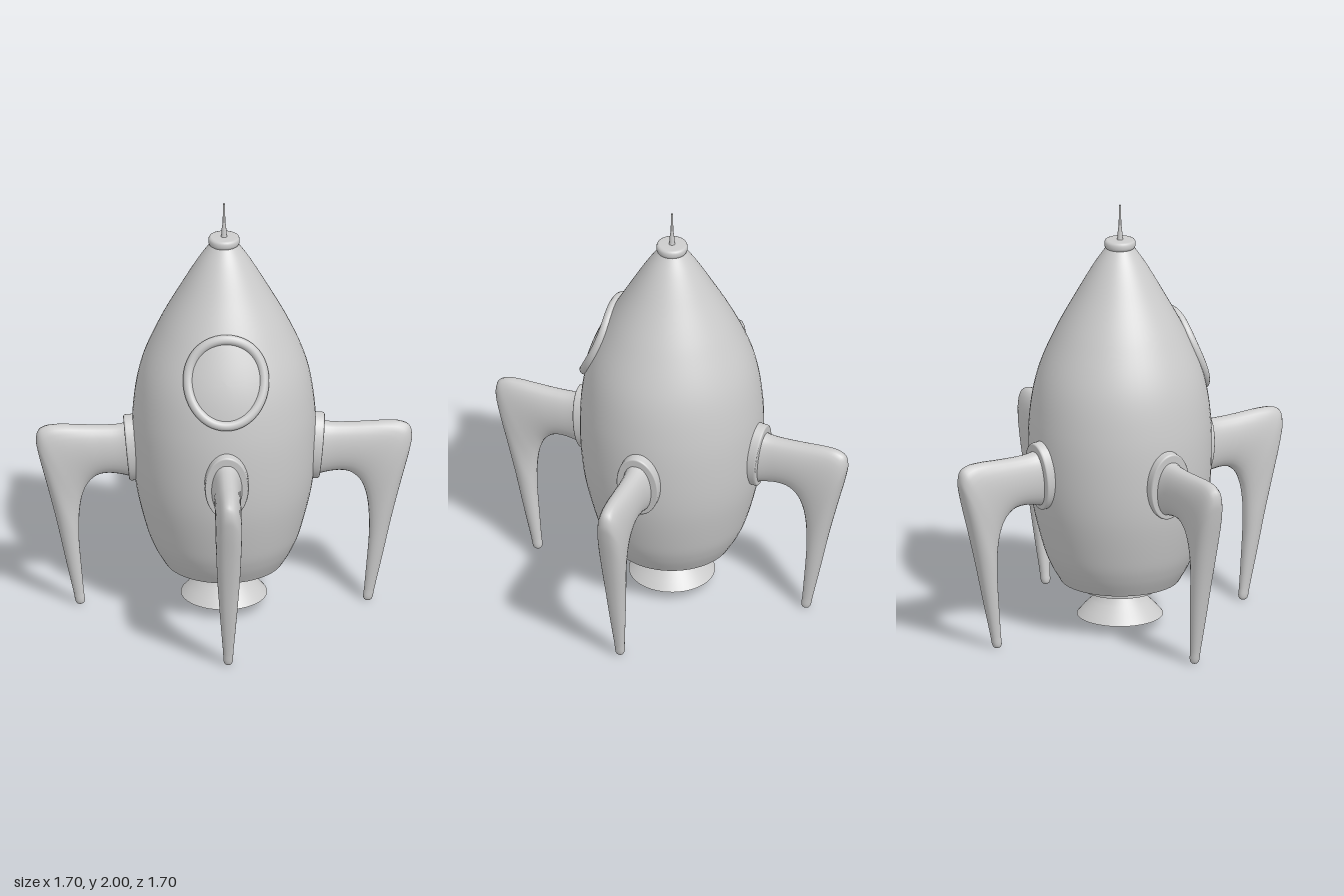
import * as THREE from 'three';

const grey = new THREE.MeshStandardMaterial({ color: 0xcccccc });
grey.name = 'light grey';
const greyDouble = grey;

const v2 = (list) => list.map(([x, y]) => new THREE.Vector2(x, y));

// Smooth egg-shaped hull profile, bottom to top
const hullProfile = new THREE.SplineCurve(v2([
  [0.27, 0.22], [0.315, 0.3], [0.352, 0.4], [0.398, 0.6], [0.415, 0.8], [0.41, 1.0],
  [0.375, 1.2], [0.293, 1.4], [0.185, 1.6], [0.115, 1.72], [0.06, 1.8],
])).getPoints(80);

function hullRadius(y) {
  for (let i = 1; i < hullProfile.length; i++) {
    const a = hullProfile[i - 1], b = hullProfile[i];
    if (y <= b.y) return a.x + (b.x - a.x) * (y - a.y) / (b.y - a.y);
  }
  return 0.06;
}

// Point on the front of the hull, pushed forward by an offset
function onHull(x, y, offset) {
  const r = hullRadius(y) + offset;
  return new THREE.Vector3(x, y, Math.sqrt(r * r - x * x));
}

function add(parent, name, geometry) {
  const mesh = new THREE.Mesh(geometry, greyDouble);
  mesh.name = name;
  parent.add(mesh);
  return mesh;
}

const lathe = (points, segments = 48) => new THREE.LatheGeometry(v2(points), segments);

// Tapered leg: each station is [topOuter x, y, underside x, y, half thickness]
function legGeometry() {
  const stations = [
    [0.40, 0.915, 0.40, 0.635, 0.078], [0.47, 0.894, 0.47, 0.652, 0.064],
    [0.55, 0.89, 0.53, 0.657, 0.06], [0.65, 0.893, 0.575, 0.645, 0.06],
    [0.74, 0.897, 0.615, 0.605, 0.06], [0.80, 0.893, 0.638, 0.55, 0.06],
    [0.838, 0.873, 0.648, 0.50, 0.06], [0.85, 0.825, 0.653, 0.45, 0.058],
    [0.84, 0.76, 0.655, 0.40, 0.056], [0.80, 0.60, 0.655, 0.35, 0.052],
    [0.757, 0.42, 0.653, 0.30, 0.045], [0.717, 0.23, 0.645, 0.20, 0.035],
    [0.68, 0.06, 0.633, 0.06, 0.023], [0.67, 0.012, 0.629, 0.012, 0.02],
    [0.662, 0.001, 0.637, 0.001, 0.012], [0.65, 0, 0.649, 0, 0.0005],
  ];
  const outer = new THREE.CatmullRomCurve3(stations.map((s) => new THREE.Vector3(s[0], s[1], s[4])));
  const inner = new THREE.CatmullRomCurve3(stations.map((s) => new THREE.Vector3(s[2], s[3], 0)));
  const rows = (stations.length - 1) * 4, cols = 28;
  const positions = [], index = [];
  for (let i = 0; i <= rows; i++) {
    const o = outer.getPoint(i / rows), n = inner.getPoint(i / rows);
    for (let j = 0; j < cols; j++) {
      const a = (j / cols) * Math.PI * 2, c = Math.cos(a), s = Math.sin(a);
      const t = (1 + c) / 2;
      positions.push(
        n.x + (o.x - n.x) * t,
        Math.max(0, n.y + (o.y - n.y) * t),
        o.z * Math.sign(s) * Math.pow(Math.abs(s), 0.85),
      );
      if (i < rows) {
        const k = (j + 1) % cols, p = i * cols, q = p + cols;
        index.push(p + j, p + k, q + j, p + k, q + k, q + j);
      }
    }
  }
  const g = new THREE.BufferGeometry();
  g.setAttribute('position', new THREE.Float32BufferAttribute(positions, 3));
  g.setIndex(index);
  g.computeVertexNormals();
  return g;
}

export function createModel() {
  const rocket = new THREE.Group();
  rocket.name = 'rocket';

  // Hull and its recessed underside
  add(rocket, 'hull', new THREE.LatheGeometry(hullProfile, 64));
  add(rocket, 'hullRim', lathe([[0.225, 0.22], [0.27, 0.22]], 64));
  add(rocket, 'hullRecessWall', lathe([[0.225, 0.29], [0.225, 0.22]], 64));
  add(rocket, 'hullRecessFloor', lathe([[0, 0.29], [0.225, 0.29]], 64));

  // Engine collar and flared hollow nozzle
  const engine = add(rocket, 'engineCollar', new THREE.CylinderGeometry(0.175, 0.175, 0.115, 48));
  engine.position.y = 0.2325;
  const flare = [[0.195, 0.05], [0.165, 0.085], [0.13, 0.12], [0.105, 0.15], [0.093, 0.18]];
  add(rocket, 'nozzleOutside', lathe(flare));
  const inside = flare.map(([r, y]) => [r - 0.006, y]).reverse();
  add(rocket, 'nozzleInside', lathe([[0, 0.18], ...inside]));
  add(rocket, 'nozzleLip', lathe([[0.189, 0.05], [0.195, 0.05]]));

  // Nose cap with antenna
  add(rocket, 'noseCap', lathe([
    [0, 1.79], [0.058, 1.79], [0.067, 1.796], [0.071, 1.806], [0.071, 1.82],
    [0.067, 1.829], [0.058, 1.833], [0, 1.833],
  ], 32));
  add(rocket, 'antenna', lathe([
    [0.015, 1.83], [0.011, 1.845], [0.01, 1.88], [0.006, 1.9], [0.005, 1.99], [0.003, 1.998], [0, 2],
  ], 16));

  // Porthole ring and glass wrapped onto the hull
  const cy = 1.26, rim = [];
  for (let i = 0; i < 48; i++) {
    const a = (i / 48) * Math.PI * 2;
    rim.push(onHull(0.172 * Math.cos(a), cy + 0.185 * Math.sin(a), 0.002));
  }
  add(rocket, 'portholeRing', new THREE.TubeGeometry(new THREE.CatmullRomCurve3(rim, true), 96, 0.023, 14, true));
  const glass = new THREE.RingGeometry(0, 1, 48, 8);
  const pos = glass.attributes.position;
  for (let i = 0; i < pos.count; i++) {
    const p = onHull(pos.getX(i) * 0.17, cy + pos.getY(i) * 0.183, 0.006);
    pos.setXYZ(i, p.x, p.y, p.z);
  }
  glass.computeVertexNormals();
  add(rocket, 'portholeGlass', glass);

  // Four legs with oval mounting collars
  const leg = legGeometry();
  const mount = lathe([
    [1, -0.08], [1, 0.02], [0.985, 0.027], [0.95, 0.03], [0, 0.03],
  ]);
  mount.scale(0.16, 1, 0.1).rotateZ(-Math.PI / 2);
  ['left', 'front', 'right', 'back'].forEach((side, i) => {
    const group = new THREE.Group();
    group.name = side + 'Leg';
    add(group, 'leg', leg);
    const collar = add(group, 'legCollar', mount);
    collar.position.set(0.412, 0.78, 0);
    collar.rotation.z = -0.09;
    group.rotation.y = -i * Math.PI / 2;
    rocket.add(group);
  });

  return rocket;
}
